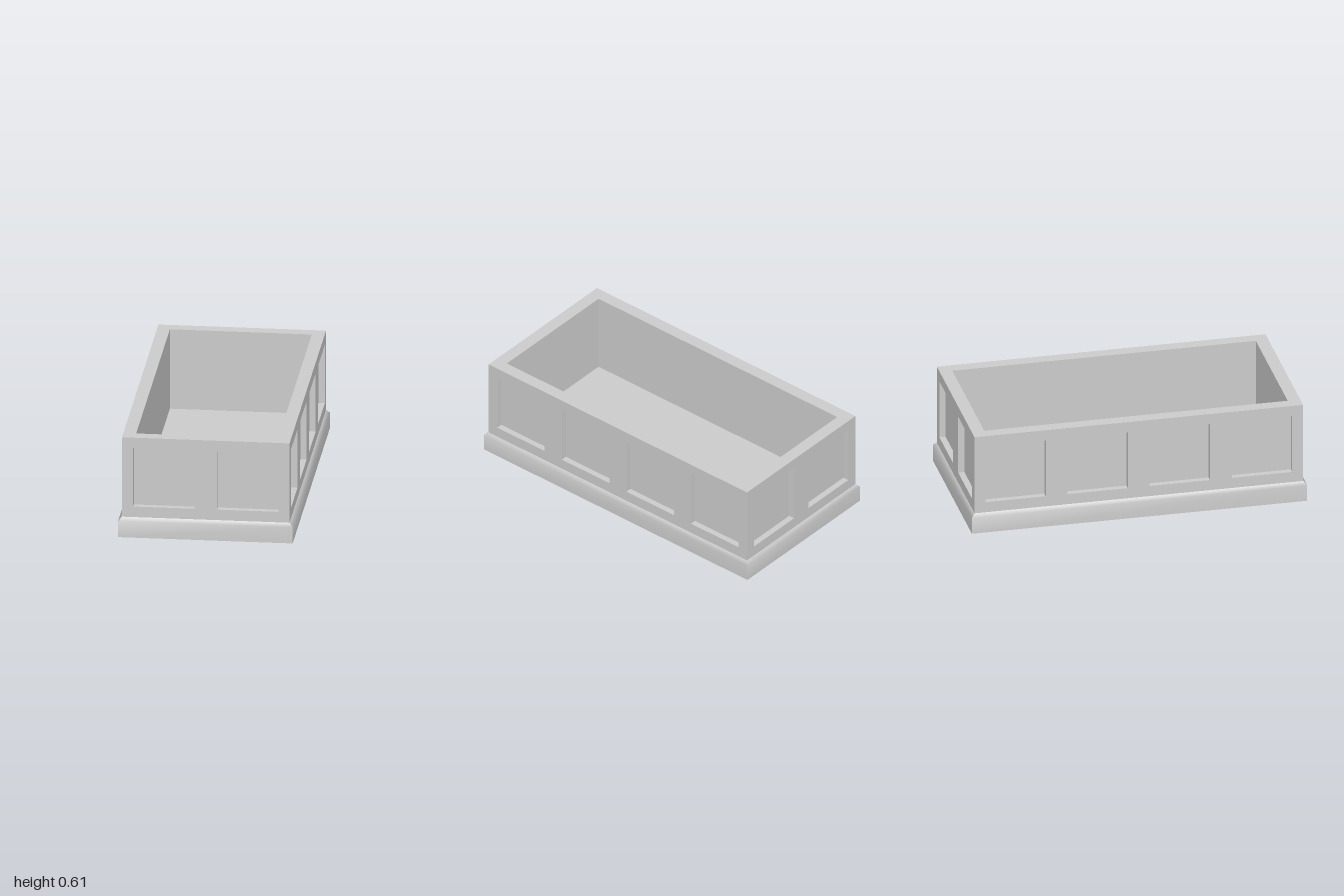
import * as THREE from 'three';

const BODY_X = 0.49, BODY_Z = 0.98;      // half sizes of the planter body
const BASE_H = 0.12, WALL_H = 0.49;      // plinth height, wall height
const WALL_T = 0.075, RECESS = 0.037;    // wall thickness, panel depth
const PANEL = 0.36, PITCH = 0.49;        // square panel size and spacing

const material = new THREE.MeshStandardMaterial({ color: 0xcccccc });

function addMesh(parent, geometry, name) {
  const mesh = new THREE.Mesh(geometry, material);
  mesh.name = name;
  parent.add(mesh);
  return mesh;
}

function rectangle(target, cx, cy, w, h) {
  target.moveTo(cx - w / 2, cy - h / 2);
  target.lineTo(cx + w / 2, cy - h / 2);
  target.lineTo(cx + w / 2, cy + h / 2);
  target.lineTo(cx - w / 2, cy + h / 2);
  target.closePath();
  return target;
}

// Upright slab from depth "front" to "back" behind z = 0, with mitred ends
function mitredSlab(halfWidth, front, back, holes) {
  const shape = rectangle(new THREE.Shape(), 0, WALL_H / 2, halfWidth * 2, WALL_H);
  for (const x of holes) {
    shape.holes.push(rectangle(new THREE.Path(), x, WALL_H / 2, PANEL, PANEL));
  }
  const geometry = new THREE.ExtrudeGeometry(shape, { depth: back - front, bevelEnabled: false });
  geometry.translate(0, 0, -back);
  const p = geometry.attributes.position;
  for (let i = 0; i < p.count; i++) {
    const x = p.getX(i);
    if (Math.abs(x) > halfWidth - 1e-4) p.setX(i, x + Math.sign(x) * p.getZ(i));
  }
  geometry.computeVertexNormals();
  return geometry;
}

// Wall facing +z: pierced frame in front of a plain backing
function panelledWall(halfWidth, count, name) {
  const wall = new THREE.Group();
  wall.name = name;
  const centres = Array.from({ length: count }, (_, i) => (i - (count - 1) / 2) * PITCH);
  addMesh(wall, mitredSlab(halfWidth, 0, RECESS, centres), 'panelFrame');
  addMesh(wall, mitredSlab(halfWidth, RECESS, WALL_T, []), 'panelBacking');
  return wall;
}

// Plinth skirt: smooth over the chamfer, sharp at the four corners
function skirtGeometry() {
  const profile = [[0.02, 0], [0.02, 0.1], [0, BASE_H]];  // outward offset, height
  const corners = [[-1, 1], [1, 1], [1, -1], [-1, -1]];
  const positions = [], index = [];
  for (let side = 0; side < 4; side++) {
    const first = positions.length / 3;
    for (const [offset, y] of profile) {
      for (const [sx, sz] of [corners[side], corners[(side + 1) % 4]]) {
        positions.push(sx * (BODY_X + offset), y, sz * (BODY_Z + offset));
      }
    }
    for (let row = 0; row < profile.length - 1; row++) {
      const a = first + row * 2;
      index.push(a, a + 1, a + 3, a, a + 3, a + 2);
    }
  }
  const geometry = new THREE.BufferGeometry();
  geometry.setAttribute('position', new THREE.Float32BufferAttribute(positions, 3));
  geometry.setIndex(index);
  geometry.computeVertexNormals();
  return geometry;
}

export function createModel() {
  const model = new THREE.Group();
  model.name = 'panelledPlanter';

  // Plinth with underside and the floor of the box
  const plinth = new THREE.Group();
  plinth.name = 'plinth';
  addMesh(plinth, skirtGeometry(), 'skirt');
  const underside = new THREE.PlaneGeometry((BODY_X + 0.02) * 2, (BODY_Z + 0.02) * 2);
  addMesh(plinth, underside.rotateX(Math.PI / 2), 'underside');
  const floor = new THREE.PlaneGeometry(BODY_X * 2, BODY_Z * 2);
  addMesh(plinth, floor.rotateX(-Math.PI / 2), 'floor').position.y = BASE_H;
  model.add(plinth);

  // Four walls: two panels on the ends, four on the long sides
  ['frontWall', 'leftWall', 'backWall', 'rightWall'].forEach((name, i) => {
    const isEnd = i % 2 === 0;
    const wall = panelledWall(isEnd ? BODY_X : BODY_Z, isEnd ? 2 : 4, name);
    const angle = i * Math.PI / 2, distance = isEnd ? BODY_Z : BODY_X;
    wall.rotation.y = angle;
    wall.position.set(Math.sin(angle) * distance, BASE_H, Math.cos(angle) * distance);
    model.add(wall);
  });

  return model;
}
